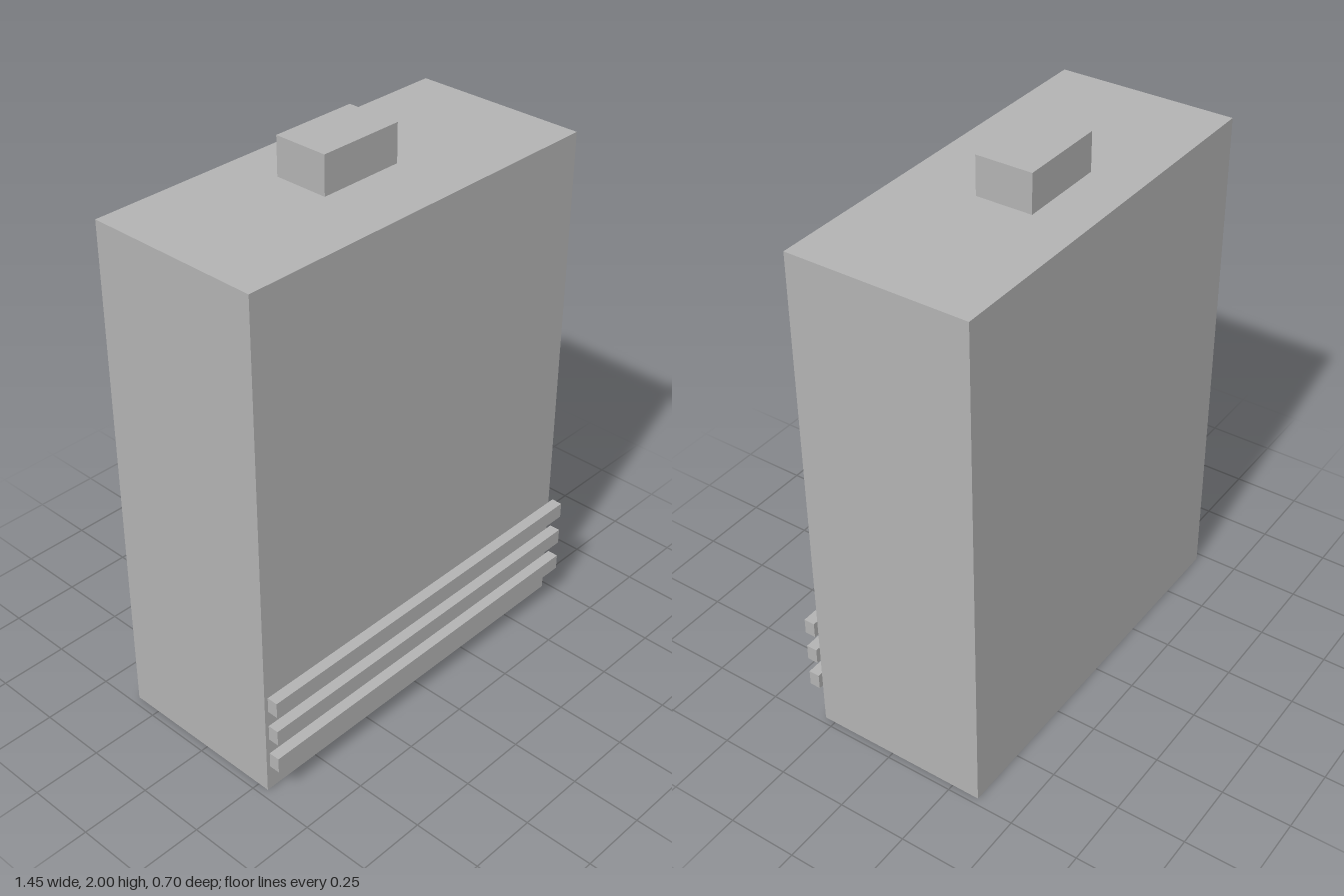
import * as THREE from 'three';

const gray = new THREE.MeshStandardMaterial({ color: 0xb2b2b2, side: THREE.DoubleSide });
gray.name = 'plain gray';

// Box given by its lower and upper corners; openBottom leaves out the underside
function box(name, [x0, y0, z0], [x1, y1, z1], openBottom = false) {
  const geometry = new THREE.BoxGeometry(x1 - x0, y1 - y0, z1 - z0);
  if (openBottom) {
    const index = Array.from(geometry.index.array);
    index.splice(18, 6); // fourth face points down
    geometry.setIndex(index);
  }
  geometry.clearGroups();
  const mesh = new THREE.Mesh(geometry, gray);
  mesh.name = name;
  mesh.position.set((x0 + x1) / 2, (y0 + y1) / 2, (z0 + z1) / 2);
  return mesh;
}

export function createModel() {
  const model = new THREE.Group();
  model.name = 'slab tower';

  // Hollow main block and the small block on its roof
  model.add(box('body', [-0.722, 0, -0.352], [0.727, 1.863, 0.291], true));
  model.add(box('roofBlock', [-0.16, 1.863, -0.171], [0.16, 2, 0.03], true));

  // Three floating rails across the lower front
  const rails = new THREE.Group();
  rails.name = 'frontRails';
  for (let i = 0; i < 3; i++) {
    const y = 0.154 + i * 0.119;
    rails.add(box('rail' + (i + 1), [-0.727, y - 0.029, 0.312], [0.722, y + 0.029, 0.352]));
  }
  model.add(rails);
  return model;
}
